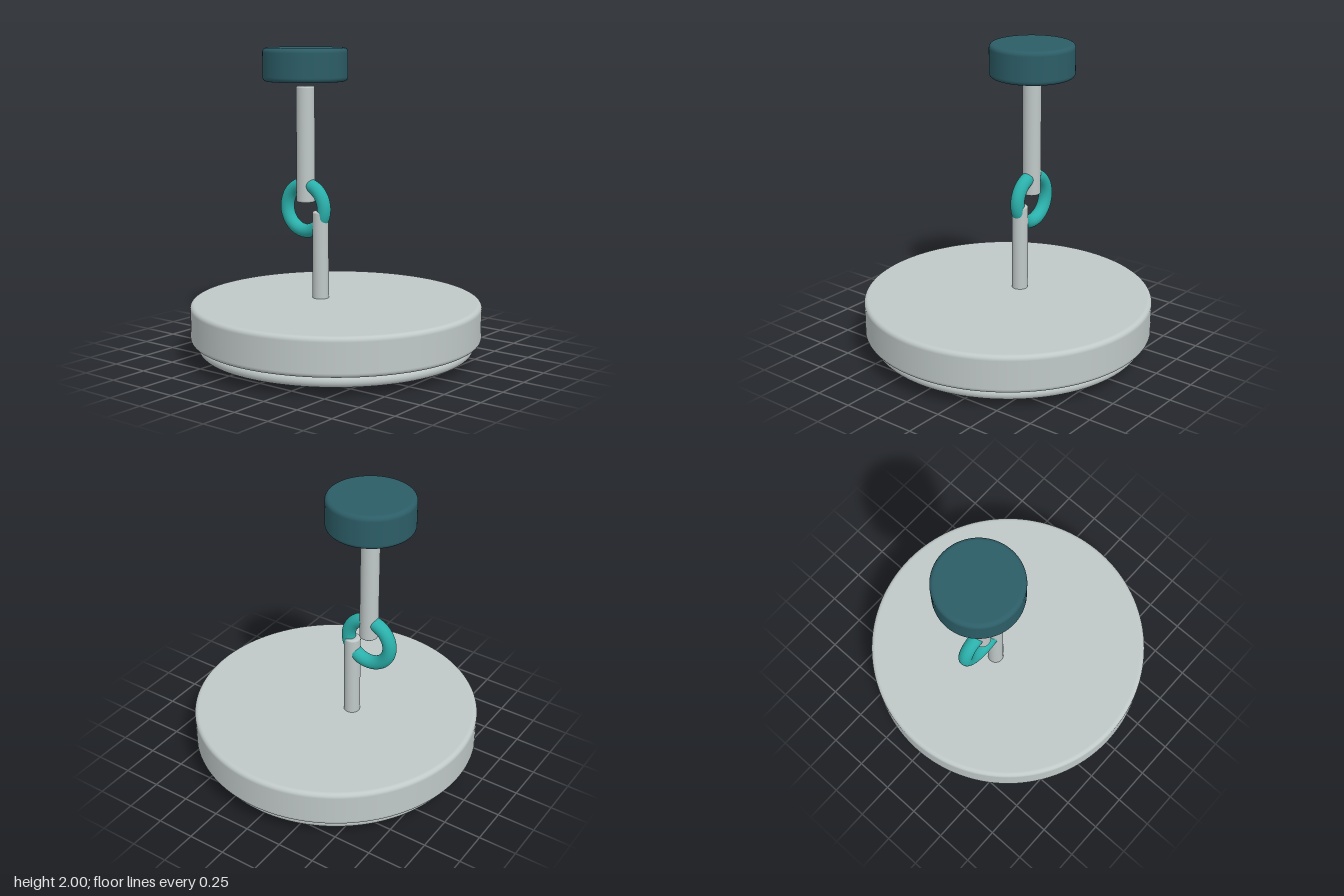
import * as THREE from 'three';

const material = (name, color) => {
  const m = new THREE.MeshStandardMaterial({ color });
  m.name = name;
  return m;
};

// Solid disc or rod with rounded rims, turned around the y axis
function roundedCylinder(radius, bottom, top, bevel, segments) {
  const points = [new THREE.Vector2(0, bottom)];
  const guard = bevel * 0.05; // keeps the flat faces flat-shaded
  const steps = 8;
  const corner = (cy, start) => {
    for (let i = 0; i <= steps; i++) {
      const a = start + (i / steps) * Math.PI / 2;
      points.push(new THREE.Vector2(radius - bevel + bevel * Math.cos(a), cy + bevel * Math.sin(a)));
    }
  };
  points.push(new THREE.Vector2(radius - bevel - guard, bottom));
  corner(bottom + bevel, -Math.PI / 2);
  points.push(new THREE.Vector2(radius, bottom + bevel + guard));
  points.push(new THREE.Vector2(radius, top - bevel - guard));
  corner(top - bevel, 0);
  points.push(new THREE.Vector2(radius - bevel - guard, top));
  points.push(new THREE.Vector2(0, top));
  return new THREE.LatheGeometry(points, segments);
}

export function createModel() {
  const model = new THREE.Group();
  model.name = 'hangingDisc';
  const grey = material('paleGrey', 0xc0c8c8);
  const dark = material('darkTeal', 0x2c5d67);
  const teal = material('brightTeal', 0x2bb0ab);

  const add = (name, geometry, mat, x = 0, y = 0, z = 0) => {
    const mesh = new THREE.Mesh(geometry, mat);
    mesh.name = name;
    mesh.position.set(x, y, z);
    model.add(mesh);
    return mesh;
  };

  // Ceiling cap, rods and linking ring
  add('ceilingCap', roundedCylinder(0.275, 1.785, 2, 0.028, 96), dark, -0.25);
  add('upperRod', roundedCylinder(0.06, 1.0, 1.755, 0.012, 48), grey, -0.25);
  add('lowerRod', roundedCylinder(0.053, 0.3, 0.95, 0.012, 48), grey, -0.127);
  add('linkRing', new THREE.TorusGeometry(0.153, 0.045, 24, 72), teal, -0.252, 0.963);

  // Main disc with a rim and recessed plate underneath
  add('mainDisc', roundedCylinder(0.94, 0.135, 0.38, 0.028, 128), grey);
  const rim = add('lowerRim', new THREE.TorusGeometry(0.853, 0.038, 24, 128), grey, 0, 0.097);
  rim.rotation.x = Math.PI / 2;
  add('lowerPlate', roundedCylinder(0.747, 0.078, 0.15, 0.008, 96), grey);

  // Domed studs around a central boss
  const boss = add('centreBoss', new THREE.SphereGeometry(1, 48, 24), dark, 0, 0.042, 0);
  boss.scale.set(0.125, 0.04, 0.125);
  const studGeometry = new THREE.SphereGeometry(1, 32, 16);
  for (let i = 0; i < 8; i++) {
    const a = i * Math.PI / 4;
    const stud = add('stud' + (i + 1), studGeometry, grey, 0.512 * Math.cos(a), 0.058, 0.512 * Math.sin(a));
    stud.scale.set(0.077, 0.034, 0.077);
  }

  return model;
}
